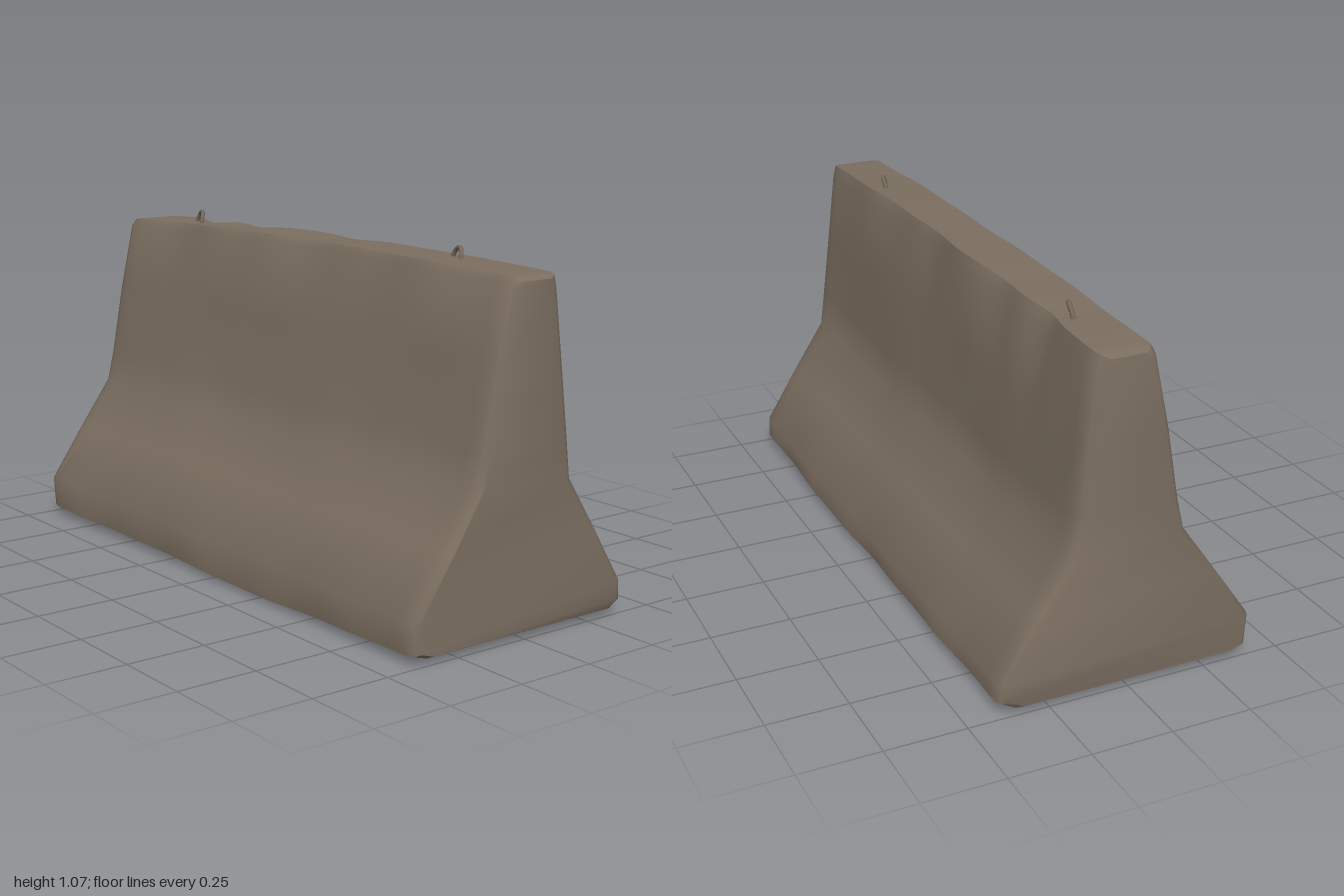
import * as THREE from 'three';
import { toCreasedNormals } from 'three/addons/utils/BufferGeometryUtils.js';

// Cross-section [z, y]: front side going up, then back side going down in matching pairs
const PROFILE = [
  [0.36, 0.012], [0.4, 0.025], [0.405, 0.13], [0.29, 0.3], [0.182, 0.46], [0.155, 0.56], [0.11, 0.79], [0.067, 1.015], [0.052, 1.036],
  [-0.108, 1.036], [-0.122, 1.0], [-0.15, 0.77], [-0.168, 0.56], [-0.182, 0.44], [-0.29, 0.28], [-0.4, 0.1], [-0.402, 0.035], [-0.36, 0.012],
];

const bump = (x, c, w) => Math.exp(-(((x - c) / w) ** 2));

// One worn cross-section at x, shrunk by inset near the ends
function ring(x, inset) {
  return PROFILE.map(([z, y], j) => {
    const front = z > 0;
    let pz = z - Math.sign(z) * inset * (front ? 0.7 : 1);
    let py = y;
    if (y > 0.95) {
      // Gently crowned top with a chipped back edge
      py += 0.013 * (1 - x * x) - 0.006 * x * x - inset * 0.4;
      if (!front) {
        const chip = bump(x, -0.66, 0.07) + 0.8 * bump(x, -0.4, 0.09) + 0.5 * bump(x, 0.1, 0.1);
        pz += 0.02 * chip;
        py -= 0.01 * chip;
      }
    } else if (y < 0.05) {
      // Uneven underside
      py += 0.005 * x * x - 0.009 * bump(x, 0.25, 0.3) + inset * 0.3;
    }
    // Shallow cast-surface waviness
    pz += 0.003 * Math.sin(x * 7 + j * 1.3) + 0.002 * Math.sin(x * 17 + j * 2.1);
    const px = x - Math.sign(x) * 0.012 * Math.min(1, y) * (Math.abs(x) > 0.9 ? 1 : 0);
    return [px, Math.max(0.003, py), pz];
  });
}

function barrierGeometry() {
  const rings = [ring(-1, 0.03), ring(-0.988, 0.01)];
  const steps = 44;
  for (let i = 0; i <= steps; i++) rings.push(ring(-0.965 + (1.93 * i) / steps, 0));
  rings.push(ring(0.988, 0.01), ring(1, 0.03));

  const pos = [];
  const quad = (a, b, c, d) => pos.push(...a, ...b, ...c, ...a, ...c, ...d);
  const n = PROFILE.length;
  // Long sides, top and underside
  for (let i = 0; i < rings.length - 1; i++) {
    for (let j = 0; j < n; j++) {
      const k = (j + 1) % n;
      quad(rings[i][j], rings[i + 1][j], rings[i + 1][k], rings[i][k]);
    }
  }
  // End faces, in strips between front and back profile points
  const l = rings[0], r = rings[rings.length - 1];
  for (let j = 0; j < n / 2 - 1; j++) {
    const b = n - 1 - j;
    quad(r[j], r[b], r[b - 1], r[j + 1]);
    quad(l[b], l[j], l[j + 1], l[b - 1]);
  }
  const geo = new THREE.BufferGeometry();
  geo.setAttribute('position', new THREE.Float32BufferAttribute(pos, 3));
  return toCreasedNormals(geo, 0.75);
}

export function createModel() {
  const group = new THREE.Group();
  const concrete = new THREE.MeshStandardMaterial({ color: 0x7b6e60 });
  concrete.name = 'concrete';
  const steel = new THREE.MeshStandardMaterial({ color: 0x74685b });
  steel.name = 'weathered steel';

  const body = new THREE.Mesh(barrierGeometry(), concrete);
  body.name = 'barrierBody';
  group.add(body);

  // Lifting loops, skewed and leaning slightly backwards
  const path = new THREE.CatmullRomCurve3([
    [-0.034, -0.02, 0], [-0.032, 0.012, -0.002], [-0.018, 0.035, -0.008],
    [0.002, 0.041, -0.01], [0.022, 0.03, -0.006], [0.032, 0.008, 0], [0.034, -0.02, 0],
  ].map((p) => new THREE.Vector3(...p)));
  const loopGeo = new THREE.TubeGeometry(path, 20, 0.007, 8);
  for (const [name, x, z] of [['rightLiftingLoop', -0.695, -0.042], ['leftLiftingLoop', 0.628, -0.052]]) {
    const loop = new THREE.Mesh(loopGeo, steel);
    loop.name = name;
    loop.position.set(x, 1.03, z);
    loop.rotation.y = -0.35;
    group.add(loop);
  }
  return group;
}
